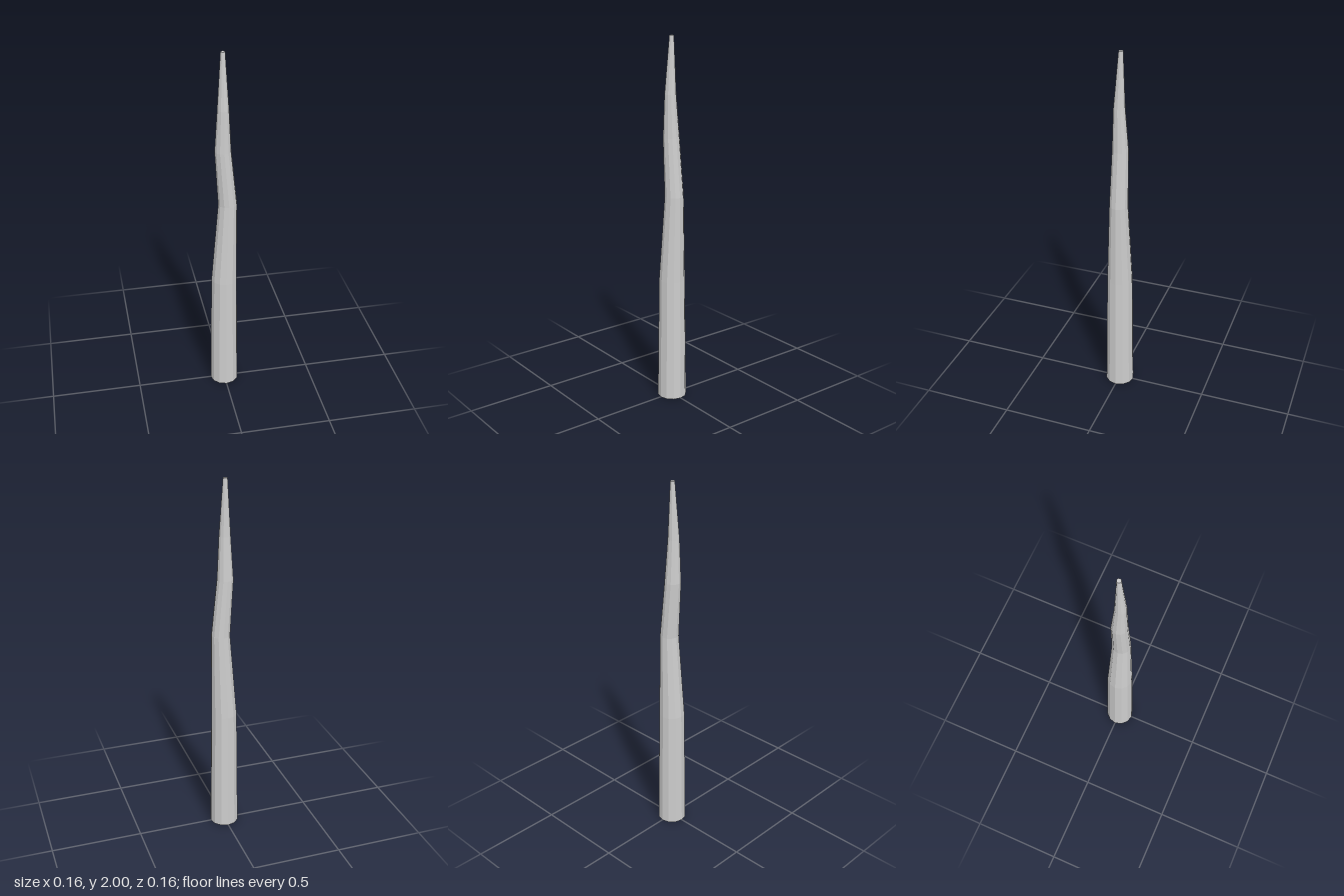
import * as THREE from 'three';

// Cross-sections from the base up: height, radius, centre x, centre z
const RINGS = [
  [0, 0.08, 0, 0],
  [0.69, 0.071, 0, 0],
  [1.16, 0.051, 0.019, 0],
  [1.47, 0.044, -0.006, 0],
  [1.7, 0.031, -0.006, 0.006],
  [2, 0.012, -0.006, -0.002],
];

export function createModel() {
  const group = new THREE.Group();
  group.name = 'crookedSpike';

  // Twelve-sided capped column, its rings moved and scaled to the sections
  const segments = RINGS.length - 1;
  const geometry = new THREE.CylinderGeometry(1, 1, segments, 12, segments);
  geometry.translate(0, segments / 2, 0);
  const pos = geometry.attributes.position;
  for (let i = 0; i < pos.count; i++) {
    const [y, r, cx, cz] = RINGS[Math.round(pos.getY(i))];
    pos.setXYZ(i, cx + pos.getX(i) * r, y, cz + pos.getZ(i) * r);
  }
  geometry.computeVertexNormals();

  const material = new THREE.MeshStandardMaterial({ color: 0xcccccc, flatShading: true });
  const shaft = new THREE.Mesh(geometry, material);
  shaft.name = 'shaft';
  group.add(shaft);
  return group;
}
